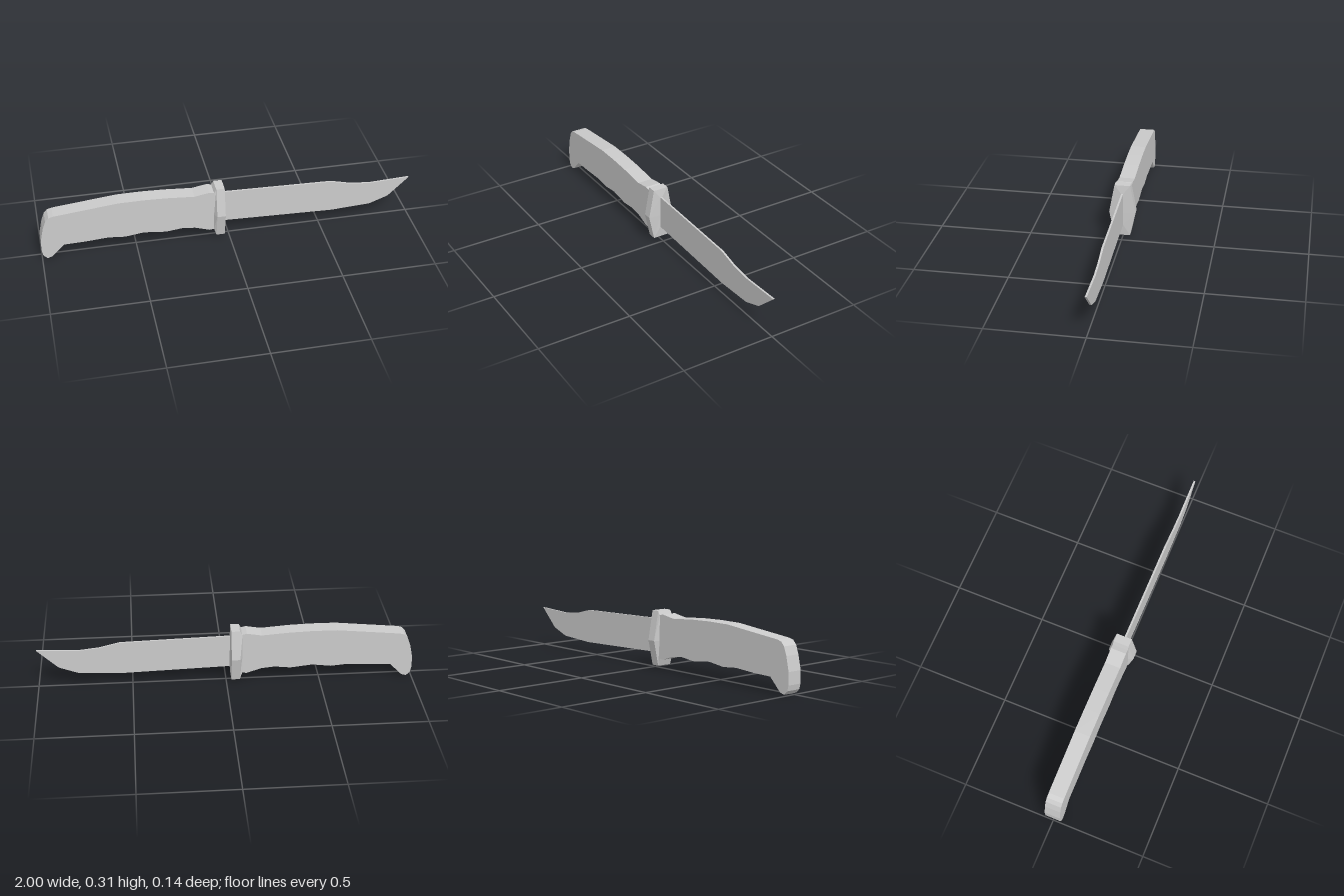
import * as THREE from 'three';

const material = new THREE.MeshStandardMaterial({ color: 0xcccccc, flatShading: true });

// Flat slab cut to a side outline, centred on z = 0
function slab(name, outline, depth) {
  const shape = new THREE.Shape(outline.map(([x, y]) => new THREE.Vector2(x, y)));
  const geometry = new THREE.ExtrudeGeometry(shape, { depth, bevelEnabled: false });
  geometry.translate(0, 0, -depth / 2);
  const mesh = new THREE.Mesh(geometry, material);
  mesh.name = name;
  return mesh;
}

// Six-sided section across x: flat top and bottom, pointed or straight sides
function section({ x, top, bottom, z, midZ }) {
  const mid = 0.155;
  return [[top, -z], [top, z], [mid, midZ], [bottom, z], [bottom, -z], [mid, -midZ]]
    .map(([y, pz]) => [x, y, pz]);
}

function loft(name, sections) {
  const rings = sections.map(section);
  const positions = [];
  for (let i = 0; i < rings.length - 1; i++) {
    for (let j = 0; j < 6; j++) {
      const k = (j + 1) % 6;
      const a = rings[i][j], b = rings[i][k], c = rings[i + 1][j], d = rings[i + 1][k];
      positions.push(...a, ...b, ...c, ...b, ...d, ...c);
    }
  }
  const geometry = new THREE.BufferGeometry();
  geometry.setAttribute('position', new THREE.Float32BufferAttribute(positions, 3));
  geometry.computeVertexNormals();
  const mesh = new THREE.Mesh(geometry, material);
  mesh.name = name;
  return mesh;
}

export function createModel() {
  const group = new THREE.Group();
  group.name = 'knife';

  // Handle with finger grooves below and a hooked butt
  group.add(slab('handle', [
    [-0.07, 0.06], [-0.08, 0.062], [-0.107, 0.057], [-0.187, 0.083], [-0.257, 0.09],
    [-0.342, 0.08], [-0.46, 0.093], [-0.56, 0.08], [-0.65, 0.088], [-0.765, 0.08],
    [-0.882, 0.077], [-0.947, 0.01], [-0.973, 0.002], [-0.994, 0.022], [-1, 0.05],
    [-1, 0.115], [-0.984, 0.19], [-0.968, 0.234], [-0.95, 0.255], [-0.925, 0.262],
    [-0.588, 0.297], [-0.46, 0.298], [-0.337, 0.294], [-0.187, 0.283],
    [-0.107, 0.297], [-0.08, 0.29], [-0.07, 0.29],
  ], 0.084));

  // Guard: hexagonal plate with slightly raised faces toward handle and blade
  group.add(loft('guard', [
    { x: -0.084, top: 0.288, bottom: 0.06, z: 0.042, midZ: 0.044 },
    { x: -0.071, top: 0.312, bottom: 0.02, z: 0.042, midZ: 0.071 },
    { x: -0.026, top: 0.312, bottom: 0.02, z: 0.042, midZ: 0.071 },
    { x: -0.02, top: 0.265, bottom: 0.083, z: 0.005, midZ: 0.005 },
  ]));

  // Clip-point blade
  group.add(slab('blade', [
    [-0.04, 0.083], [0.572, 0.065], [0.786, 0.077], [0.888, 0.115], [1, 0.222],
    [0.775, 0.212], [0.668, 0.224], [0.562, 0.25], [-0.04, 0.265],
  ], 0.01));

  return group;
}
